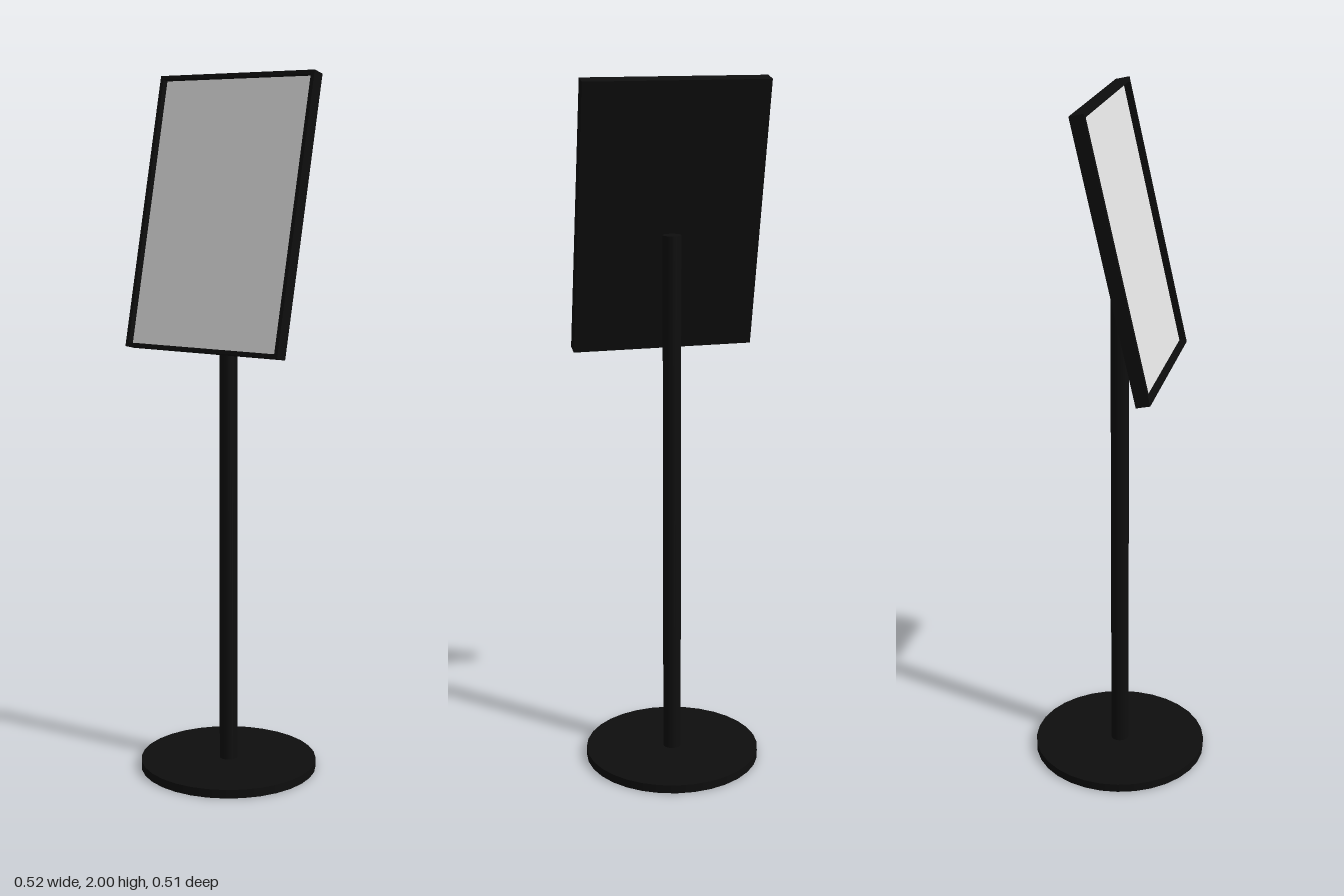
import * as THREE from 'three';

export function createModel() {
  const group = new THREE.Group();
  const black = new THREE.MeshStandardMaterial({ color: 0x0e0e0e });
  black.name = 'black metal';
  const grey = new THREE.MeshStandardMaterial({ color: 0xe4e4e4 });
  grey.name = 'light grey panel';

  const add = (parent, name, geometry, material, x = 0, y = 0, z = 0) => {
    const mesh = new THREE.Mesh(geometry, material);
    mesh.name = name;
    mesh.position.set(x, y, z);
    parent.add(mesh);
    return mesh;
  };

  // Round foot and upright post
  add(group, 'base', new THREE.CylinderGeometry(0.257, 0.257, 0.025, 32), black, 0, 0.0125, 0);
  add(group, 'pole', new THREE.CylinderGeometry(0.026, 0.026, 1.55, 24), black, 0, 0.795, 0);

  // Sign board, leaning back
  const board = new THREE.Group();
  board.name = 'signBoard';
  board.position.set(0, 1.615, 0.035);
  board.rotation.x = -0.224;
  group.add(board);

  const W = 0.522, H = 0.78, depth = 0.04, rim = 0.011;

  // Raised rim around the recessed panel
  const outline = new THREE.Shape([
    new THREE.Vector2(-W / 2, -H / 2), new THREE.Vector2(W / 2, -H / 2),
    new THREE.Vector2(W / 2, H / 2), new THREE.Vector2(-W / 2, H / 2),
  ]);
  const w = W / 2 - rim, h = H / 2 - rim;
  outline.holes.push(new THREE.Path([
    new THREE.Vector2(-w, -h), new THREE.Vector2(-w, h),
    new THREE.Vector2(w, h), new THREE.Vector2(w, -h),
  ]));
  add(board, 'frame', new THREE.ExtrudeGeometry(outline, { depth, bevelEnabled: false }),
    black, 0, 0, -depth / 2);

  // Backing sheet and display panel inside the rim
  add(board, 'backing', new THREE.BoxGeometry(2 * w, 2 * h, 0.018), black, 0, 0, -depth / 2 + 0.009);
  add(board, 'panel', new THREE.BoxGeometry(2 * w, 2 * h, 0.004), grey);

  return group;
}
